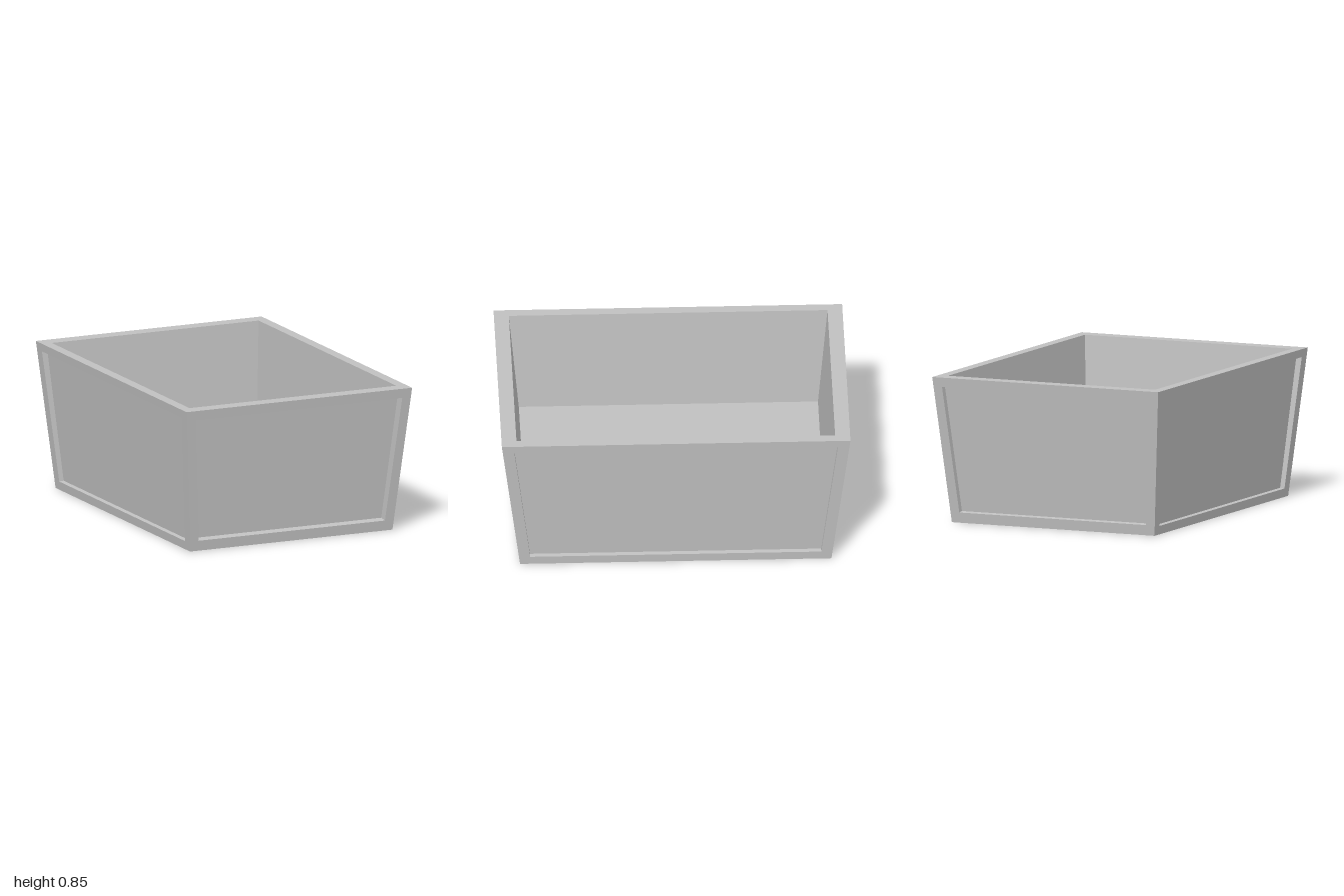
import * as THREE from 'three';

const H = 0.85, FLOOR = 0.25;

// Flat quad between four corners, counter-clockwise seen from outside
const quad = (a, b, c, d) => [a, b, c, a, c, d];

// Four quads joining an outer loop to an inner loop
const band = (A, B) => A.flatMap((p, i) => {
  const j = (i + 1) % 4;
  return quad(p, A[j], B[j], B[i]);
});

// Horizontal rectangular loop
const ring = (x, y, z) => [[-x, y, z], [x, y, z], [x, y, -z], [-x, y, -z]];

function part(name, points, material) {
  const geometry = new THREE.BufferGeometry();
  geometry.setAttribute('position', new THREE.Float32BufferAttribute(points.flat(), 3));
  geometry.computeVertexNormals();
  const mesh = new THREE.Mesh(geometry, material);
  mesh.name = name;
  return mesh;
}

// Sloping outer wall facing +z: a frame, the reveal and a sunken panel.
// Widths are half widths, out is the distance from the centre.
function wall(name, w, material) {
  const slope = (w.outTop - w.outBottom) / H;
  const at = (x, y, depth = 0) => [x, y + depth * slope, w.outBottom + slope * y - depth];
  const loop = (xb, yb, xt, yt, db = 0, dt = 0) =>
    [at(-xb, yb, db), at(xb, yb, db), at(xt, yt, dt), at(-xt, yt, dt)];

  const outline = loop(w.bottom, 0, w.top, H);
  const opening = loop(w.openBottom, w.low, w.openTop, w.high);
  const sunken = loop(w.openBottom, w.low, w.openTop, w.high, w.depthBottom, w.depthTop);

  const group = new THREE.Group();
  group.name = name;
  group.add(
    part('wallFrame', band(outline, opening), material),
    part('panelReveal', band(opening, sunken), material),
    part('sunkenPanel', quad(...sunken), material),
  );
  return group;
}

export function createModel() {
  const model = new THREE.Group();
  model.name = 'taperedBox';
  const grey = new THREE.MeshStandardMaterial({ color: 0xc0c0c0 });
  grey.name = 'lightGrey';

  // Outer walls
  const end = {
    bottom: 0.643, top: 0.717, outBottom: 0.893, outTop: 1,
    openBottom: 0.592, openTop: 0.658, low: 0.06, high: 0.795,
    depthBottom: 0.035, depthTop: 0.037,
  };
  const side = {
    bottom: 0.893, top: 1, outBottom: 0.643, outTop: 0.717,
    openBottom: 0.835, openTop: 0.928, low: 0.05, high: 0.803,
    depthBottom: 0.028, depthTop: 0.034,
  };
  const walls = [
    ['frontWall', { ...end, depthBottom: 0.05, depthTop: 0.06 }],
    ['leftWall', side],
    ['backWall', end],
    ['rightWall', side],
  ];
  walls.forEach(([name, spec], i) => {
    const w = wall(name, spec, grey);
    w.rotation.y = i * Math.PI / 2;
    model.add(w);
  });

  // Rim, hollow interior and underside
  const rimOuter = ring(0.717, H, 1), rimInner = ring(0.657, H, 0.914);
  const floor = ring(0.62, FLOOR, 0.858);
  model.add(
    part('rim', band(rimOuter, rimInner), grey),
    part('innerWalls', band(rimInner, floor), grey),
    part('floor', quad(...floor), grey),
    part('underside', quad(...ring(0.643, 0, 0.893).reverse()), grey),
  );
  return model;
}
